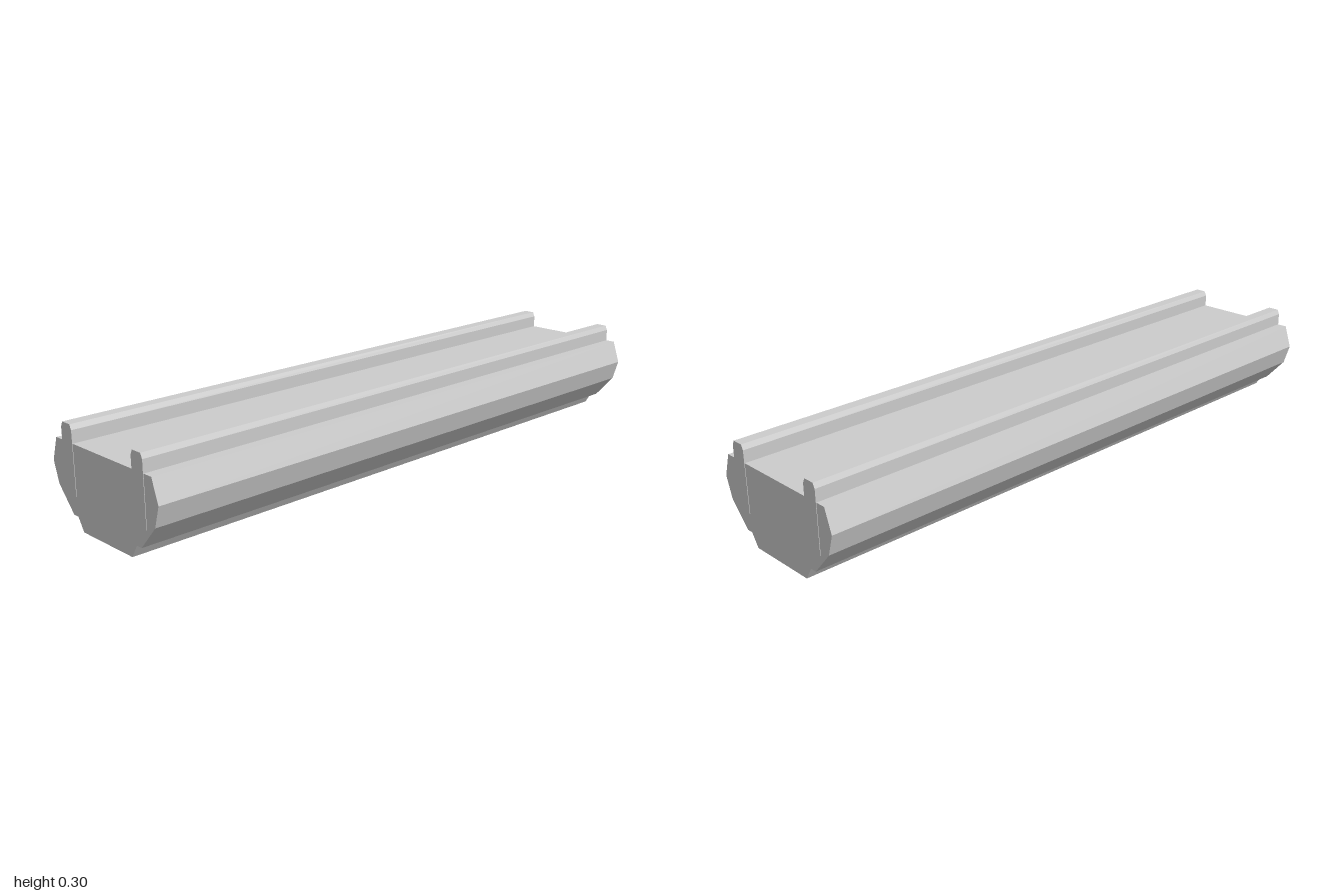
import * as THREE from 'three';

const material = new THREE.MeshStandardMaterial({ color: 0xcccccc, flatShading: true });

// Extrudes a closed (z, y) cross-section along x, centred on x = 0
function bar(name, points, length) {
  const shape = new THREE.Shape(points.map(([z, y]) => new THREE.Vector2(-z, y)));
  const geometry = new THREE.ExtrudeGeometry(shape, { depth: length, bevelEnabled: false });
  geometry.translate(0, 0, -length / 2);
  geometry.rotateY(Math.PI / 2);
  const mesh = new THREE.Mesh(geometry, material);
  mesh.name = name;
  return mesh;
}

export function createModel() {
  const group = new THREE.Group();
  group.name = 'railedBeam';

  // Beam: half profile from foot to deck, mirrored across z = 0
  const half = [
    [0.115, 0], [0.139, 0.039], [0.16, 0.039],
    [0.226, 0.112], [0.246, 0.176], [0.222, 0.247],
  ];
  const mirrored = half.map(([z, y]) => [-z, y]).reverse();
  group.add(bar('beam', [...half, ...mirrored], 1.997));

  // Two rails with chamfered tops, sunk into the beam
  const rail = [
    [-0.025, 0.096], [0.025, 0.096], [0.025, 0.285],
    [0.018, 0.3], [-0.018, 0.3], [-0.025, 0.285],
  ];
  for (const [name, z] of [['frontRail', 0.164], ['backRail', -0.164]]) {
    const mesh = bar(name, rail, 2);
    mesh.position.z = z;
    group.add(mesh);
  }
  return group;
}
